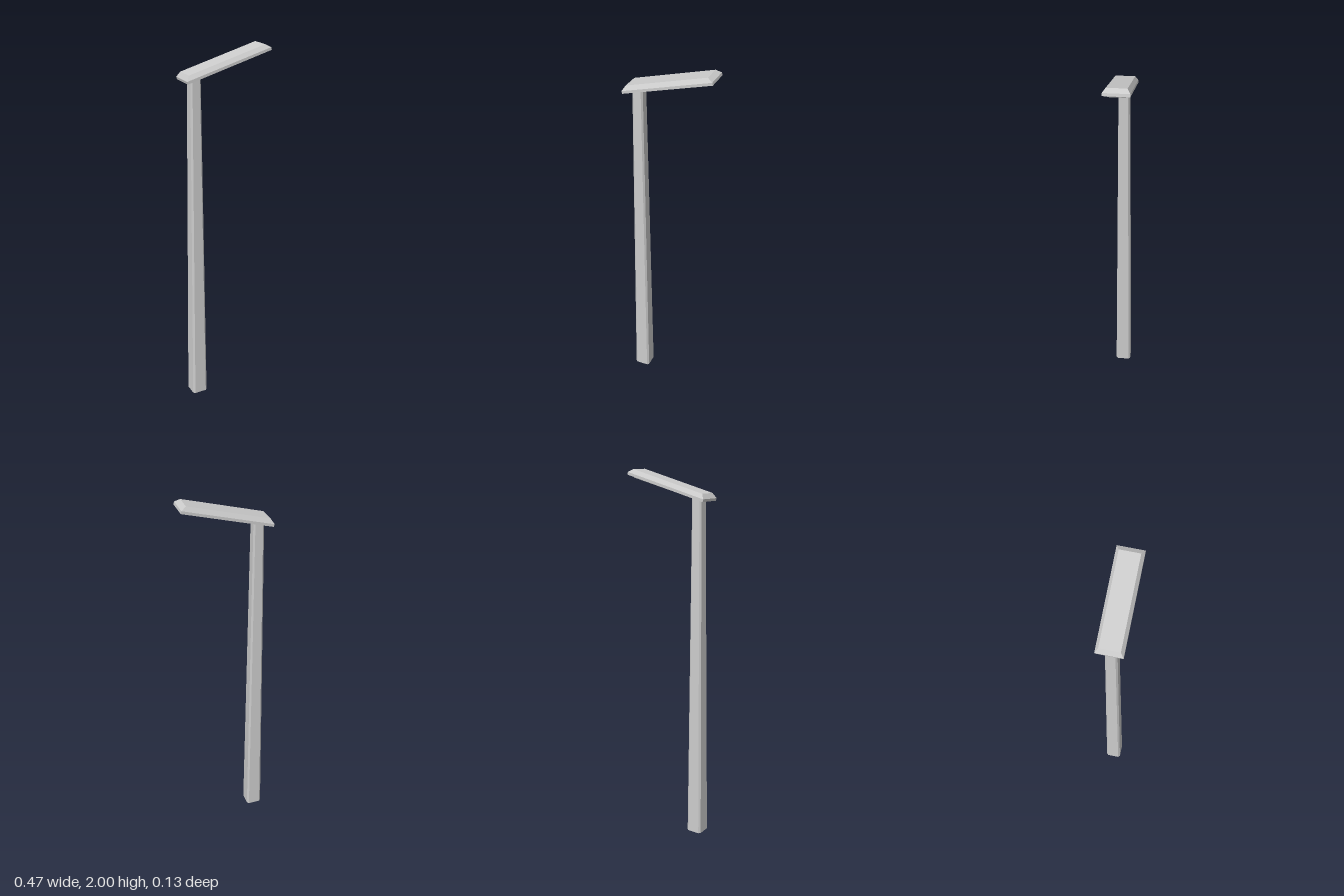
import * as THREE from 'three';

const material = new THREE.MeshStandardMaterial({ color: 0xcccccc, flatShading: true });

// Closed solid through horizontal rings (bottom to top, each ordered +z towards +x)
function loft(name, rings) {
  const n = rings[0].length, pos = rings.flat(2), index = [];
  for (let r = 0; r < rings.length - 1; r++) {
    for (let i = 0; i < n; i++) {
      const a = r * n + i, b = r * n + (i + 1) % n;
      index.push(a, b, b + n, a, b + n, a + n);
    }
  }
  const top = (rings.length - 1) * n;
  for (let i = 1; i < n - 1; i++) {
    index.push(0, i + 1, i);
    index.push(top, top + i, top + i + 1);
  }
  const geo = new THREE.BufferGeometry();
  geo.setAttribute('position', new THREE.Float32BufferAttribute(pos, 3));
  geo.setIndex(index);
  const flat = geo.toNonIndexed();
  flat.computeVertexNormals();
  const mesh = new THREE.Mesh(flat, material);
  mesh.name = name;
  return mesh;
}

// Rectangle ring; z half-width may differ at the two ends
const rect = (x0, x1, y, z0, z1 = z0) => [[x0, y, z0], [x1, y, z1], [x1, y, -z1], [x0, y, -z0]];

// Square ring with cut corners
function chamfered(cx, y, h, c) {
  const k = h - c;
  return [[-k, h], [k, h], [h, k], [h, -k], [k, -h], [-k, -h], [-h, -k], [-h, k]]
    .map(([x, z]) => [cx + x, y, z]);
}

export function createModel() {
  const group = new THREE.Group();
  group.name = 'streetLamp';

  // Tapered pole, its top buried in the lamp head
  group.add(loft('pole', [
    chamfered(-0.181, 0, 0.044, 0.01),
    chamfered(-0.17, 1.876, 0.028, 0.008),
  ]));

  // Tilted lamp head, with its origin at the low end of the underside
  const head = new THREE.Group();
  head.name = 'lampHead';
  head.position.set(-0.232, 1.847, 0);
  head.rotation.z = THREE.MathUtils.degToRad(15);

  // Housing: thin straight rim below a bevelled top
  head.add(loft('housing', [
    rect(0, 0.484, 0, 0.065),
    rect(0, 0.484, 0.014, 0.065),
    rect(0.022, 0.462, 0.035, 0.05),
  ]));

  // Light panel under the housing, widening away from the pole
  head.add(loft('lightPanel', [
    rect(0.13, 0.455, -0.008, 0.028, 0.042),
    rect(0.122, 0.463, 0.002, 0.032, 0.047),
  ]));

  group.add(head);
  return group;
}
